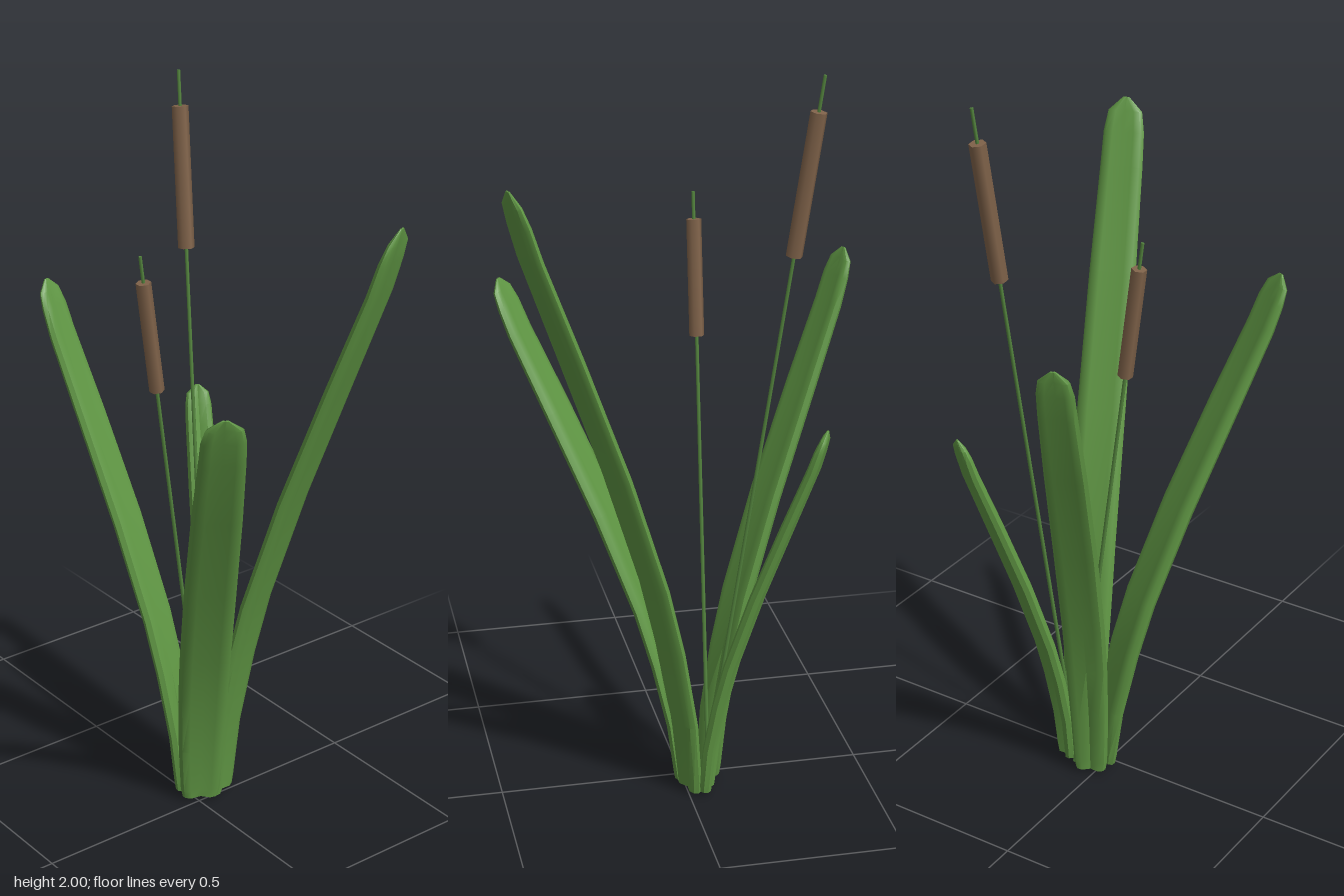
import * as THREE from 'three';
import { toCreasedNormals } from 'three/addons/utils/BufferGeometryUtils.js';

const V = (x, y, z) => new THREE.Vector3(x, y, z);
const mat = (name, color) => {
  const m = new THREE.MeshStandardMaterial({ color });
  m.name = name;
  return m;
};

// Leaf rings: height fraction, outward lean fraction, width factor, thickness factor
const RINGS = [
  [0, 0, 0.72, 0.85], [0.02, 0.003, 0.8, 0.95], [0.12, 0.035, 0.9, 1], [0.25, 0.12, 0.98, 1],
  [0.36, 0.215, 1, 1], [0.55, 0.43, 1, 1], [0.75, 0.69, 0.95, 0.95], [0.9, 0.89, 0.86, 0.85],
  [0.95, 0.945, 0.82, 0.75], [0.98, 0.98, 0.68, 0.55], [1, 1, 0.12, 0.15],
];
// Leaf cross-section, grooved along the middle of both faces
const SECTION = [
  [0.5, 0], [0.43, 0.36], [0.26, 0.5], [0, 0.18], [-0.26, 0.5], [-0.43, 0.36],
  [-0.5, 0], [-0.43, -0.36], [-0.26, -0.5], [0, -0.18], [0.26, -0.5], [0.43, -0.36],
];

// A blade swept from base to tip, its broad face turned along the lean
function leafGeometry(base, tip, width, thickness) {
  const lean = V(tip.x - base.x, 0, tip.z - base.z);
  const d = lean.clone().normalize();
  const side = V(d.z, 0, -d.x);
  const centres = RINGS.map(([h, r]) =>
    base.clone().addScaledVector(lean, r).setY(base.y + (tip.y - base.y) * h));
  const pos = [], index = [], n = SECTION.length, last = RINGS.length - 1;
  centres.forEach((c, i) => {
    const tangent = centres[Math.min(i + 1, last)].clone()
      .sub(centres[Math.max(i - 1, 0)]).normalize();
    if (i === 0) tangent.set(0, 1, 0);
    const normal = tangent.clone().cross(side);
    for (const [u, v] of SECTION) {
      const p = c.clone().addScaledVector(side, u * width * RINGS[i][2])
        .addScaledVector(normal, v * thickness * RINGS[i][3]);
      pos.push(p.x, p.y, p.z);
    }
  });
  for (let i = 0; i < last; i++) {
    for (let j = 0; j < n; j++) {
      const a = i * n + j, b = i * n + (j + 1) % n;
      index.push(a, b, b + n, a, b + n, a + n);
    }
  }
  // End caps
  pos.push(...centres[0].toArray(), ...centres[last].toArray());
  const bottom = (last + 1) * n, top = bottom + 1;
  for (let j = 0; j < n; j++) {
    const k = (j + 1) % n;
    index.push(bottom, k, j, top, last * n + j, last * n + k);
  }
  const geo = new THREE.BufferGeometry();
  geo.setAttribute('position', new THREE.Float32BufferAttribute(pos, 3));
  geo.setIndex(index);
  return toCreasedNormals(geo, 0.75);
}

export function createModel() {
  const model = new THREE.Group();
  model.name = 'reedPlant';
  const leafGreen = mat('leafGreen', 0x609744);
  const stemGreen = mat('stemGreen', 0x54853e);
  const headBrown = mat('headBrown', 0x80634a);

  // Leaves: base, tip, width
  const leaves = [
    ['frontRightLeaf', V(0.01, 0.01, -0.008), V(-0.257, 1.395, 0.436), 0.138],
    ['frontLeftLeaf', V(0.082, 0.005, -0.008), V(0.252, 1.775, 0.472), 0.135],
    ['backRightLeaf', V(0.012, 0.01, -0.077), V(-0.148, 1.455, -0.474), 0.117],
    ['backLeftLeaf', V(0.108, 0.01, -0.052), V(0.248, 1.095, -0.332), 0.09],
  ];
  for (const [name, base, tip, width] of leaves) {
    const leaf = new THREE.Mesh(leafGeometry(base, tip, width, 0.036), leafGreen);
    leaf.name = name;
    model.add(leaf);
  }

  // Flower stalks: thin stem with a six-sided seed head near its tip
  const stalks = [
    ['rightStalk', V(0.075, 0, -0.063), V(-0.138, 1.635, -0.063), 1.257, 1.563, 0.02],
    ['leftStalk', V(0.075, 0, -0.047), V(0.18, 2, -0.322), 1.537, 1.908, 0.022],
  ];
  for (const [name, base, tip, y0, y1, radius] of stalks) {
    const axis = tip.clone().sub(base), length = axis.length();
    const scale = length / axis.y, s0 = y0 * scale, s1 = y1 * scale;
    const stalk = new THREE.Group();
    stalk.name = name;
    stalk.position.copy(base);
    stalk.quaternion.setFromUnitVectors(V(0, 1, 0), axis.normalize());

    const stemGeo = new THREE.CylinderGeometry(0.0045, 0.0055, length, 6);
    const stem = new THREE.Mesh(stemGeo.translate(0, length / 2, 0), stemGreen);
    stem.name = 'stem';

    const headGeo = new THREE.CylinderGeometry(radius, radius, s1 - s0, 6);
    const head = new THREE.Mesh(headGeo.translate(0, (s0 + s1) / 2, 0), headBrown);
    head.name = 'seedHead';
    stalk.add(stem, head);
    model.add(stalk);
  }
  return model;
}
